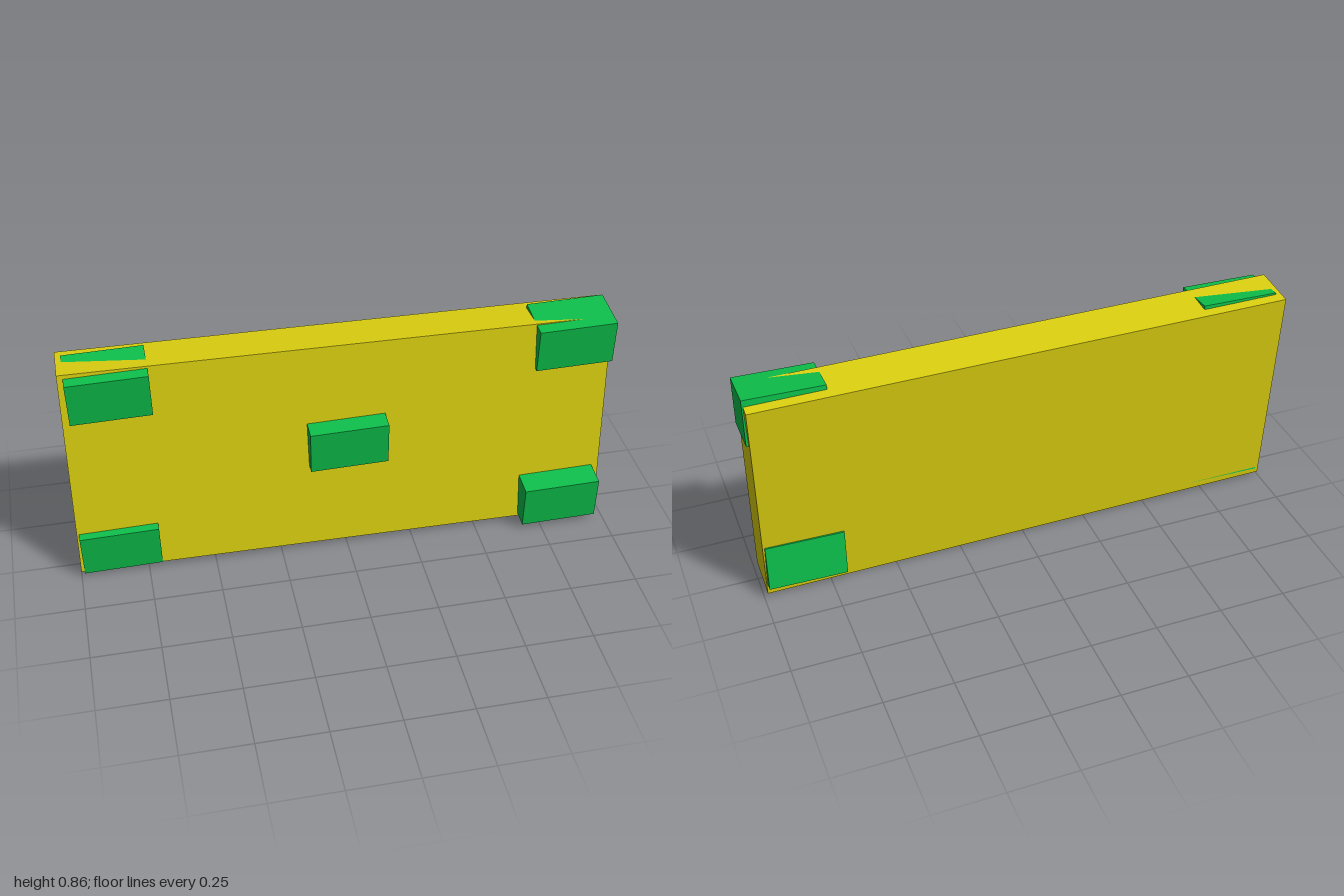
import * as THREE from 'three';

export function createModel() {
  const group = new THREE.Group();
  group.name = 'studdedSlab';

  const yellow = new THREE.MeshStandardMaterial({ color: 0xdcd010 });
  yellow.name = 'yellow';
  const green = new THREE.MeshStandardMaterial({ color: 0x0dc04b });
  green.name = 'green';

  // Main slab, leaning slightly back
  const slab = new THREE.Mesh(new THREE.BoxGeometry(1.984, 0.835, 0.169), yellow);
  slab.name = 'slab';
  slab.position.set(-0.005, 0.431, -0.039);
  slab.rotation.set(-0.0755, 0, -0.0065);
  group.add(slab);

  // Identical blocks set into the slab, all leaning forward
  const blockGeometry = new THREE.BoxGeometry(0.288, 0.175, 0.173);
  const blocks = {
    upperLeftBlock: [0.852, 0.764, -0.033],
    upperRightBlock: [-0.828, 0.764, -0.037],
    centreBlock: [0.007, 0.466, 0.01],
    lowerLeftBlock: [0.817, 0.12, 0.062],
    lowerRightBlock: [-0.845, 0.117, 0],
    rearLowerBlock: [0.836, 0.129, -0.037],
  };
  for (const [name, position] of Object.entries(blocks)) {
    const block = new THREE.Mesh(blockGeometry, green);
    block.name = name;
    block.position.set(...position);
    block.rotation.set(0.097, 0, 0.02);
    group.add(block);
  }

  return group;
}
